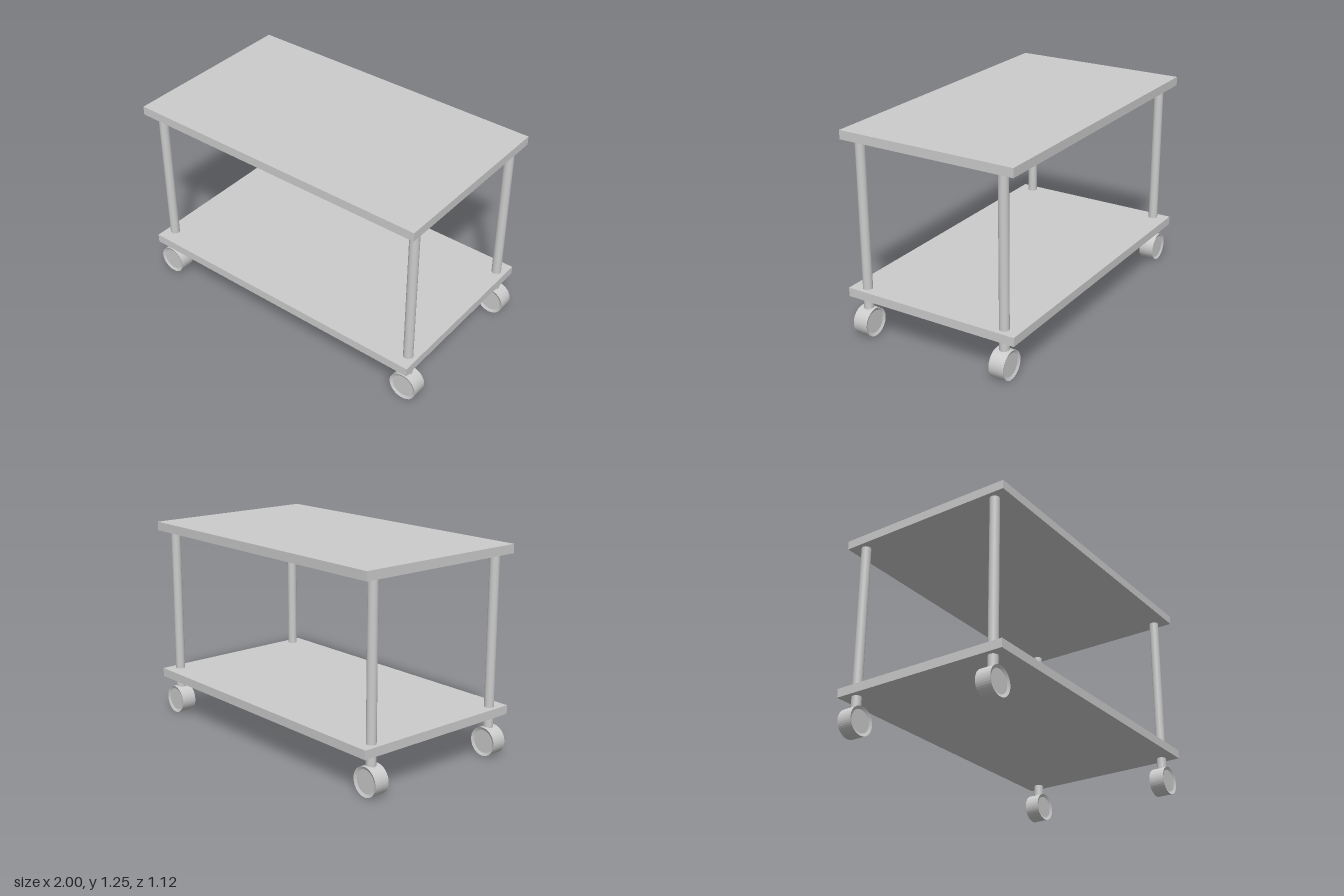
import * as THREE from 'three';

const material = new THREE.MeshStandardMaterial({ color: 0xcccccc });
const wheelMaterial = new THREE.MeshStandardMaterial({ color: 0xcccccc, flatShading: true });

function addMesh(parent, name, geometry, mat, x, y, z) {
  const mesh = new THREE.Mesh(geometry, mat);
  mesh.name = name;
  mesh.position.set(x, y, z);
  parent.add(mesh);
  return mesh;
}

// Wheel with a shallow dished face on both sides, axle along z
function wheelGeometry(radius, width) {
  const h = width / 2, hub = radius * 0.8, dish = 0.008;
  const profile = [
    [0, -h + dish], [hub, -h + dish], [radius, -h],
    [radius, h], [hub, h - dish], [0, h - dish],
  ].map(([r, y]) => new THREE.Vector2(r, y));
  return new THREE.LatheGeometry(profile, 40).rotateX(Math.PI / 2);
}

export function createModel() {
  const cart = new THREE.Group();
  cart.name = 'rollingCart';

  // Two equal boards
  const board = new THREE.BoxGeometry(1.936, 0.054, 1.124);
  addMesh(cart, 'topShelf', board, material, 0, 1.226, 0);
  addMesh(cart, 'lowerShelf', board, material, 0, 0.268, 0);

  // Posts pass through the lower board and end in the wheels
  const postBottom = 0.15, postTop = 1.2;
  const post = new THREE.CylinderGeometry(0.029, 0.029, postTop - postBottom, 32);
  const wheelRadius = 0.0872;
  const wheel = wheelGeometry(wheelRadius, 0.096);

  for (const sx of [-1, 1]) {
    for (const sz of [-1, 1]) {
      const corner = (sz > 0 ? 'front' : 'back') + (sx > 0 ? 'Left' : 'Right');
      addMesh(cart, corner + 'Post', post, material, sx * 0.912, (postBottom + postTop) / 2, sz * 0.467);
      addMesh(cart, corner + 'Wheel', wheel, wheelMaterial, sx * 0.9128, wheelRadius, sz * 0.467);
    }
  }
  return cart;
}
